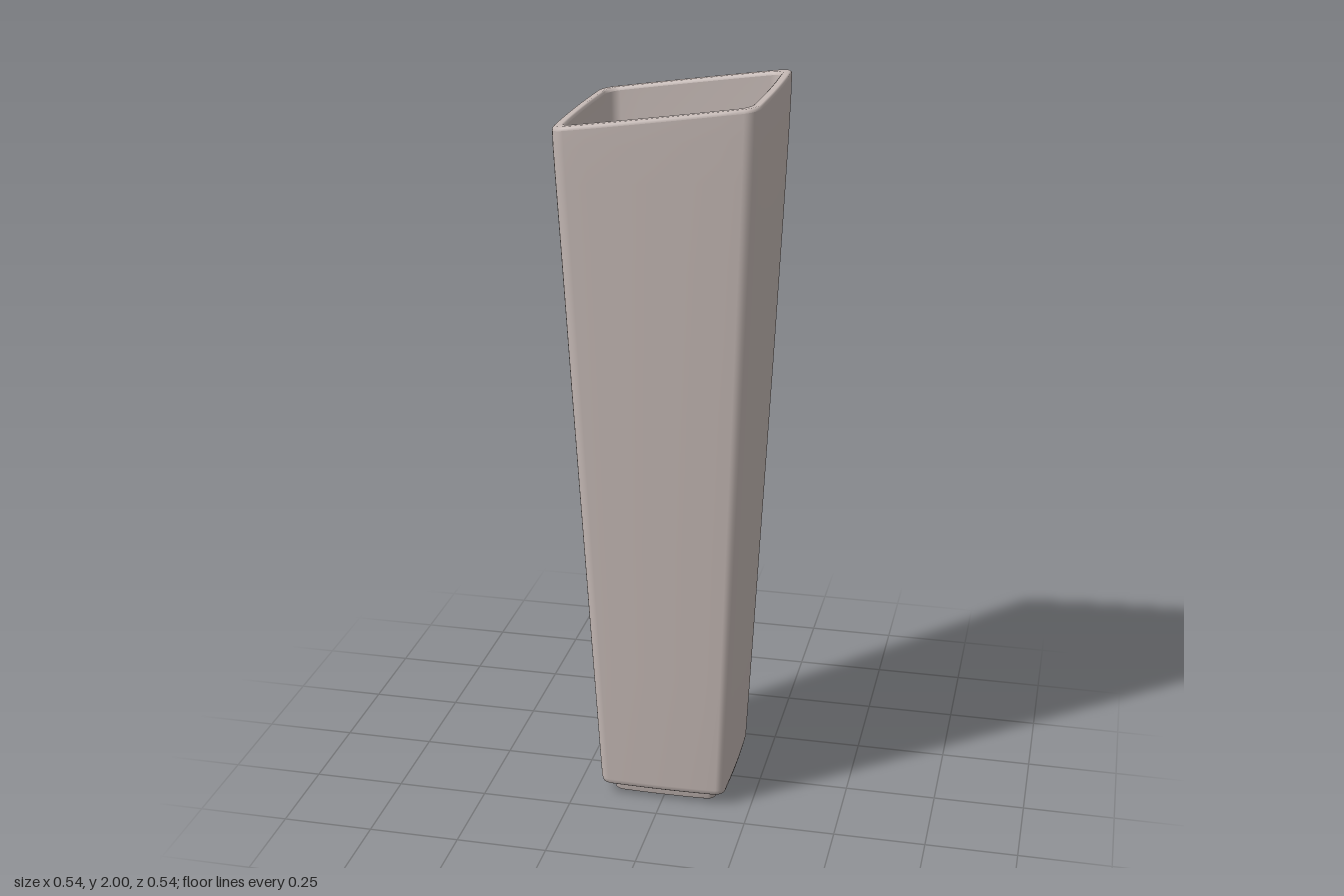
import * as THREE from 'three';

const ARC = 6, SIDE = 8;

// Rounded square outline with gently bowed sides
function outline(h) {
  const r = h * 0.13, s = h * 0.975, pts = [];
  for (let k = 0; k < 4; k++) {
    const a0 = k * Math.PI / 2, mid = a0 + Math.PI / 4;
    const cx = Math.sign(Math.cos(mid)) * (s - r), cz = Math.sign(Math.sin(mid)) * (s - r);
    for (let i = 0; i <= ARC; i++) {
      const a = a0 + i / ARC * Math.PI / 2;
      pts.push([cx + r * Math.cos(a), cz + r * Math.sin(a)]);
    }
    // straight run towards the next corner
    const [x, z] = pts[pts.length - 1], dx = -Math.sin(a0 + Math.PI / 2), dz = Math.cos(a0 + Math.PI / 2);
    for (let i = 1; i < SIDE; i++) {
      const d = 2 * (s - r) * i / SIDE;
      pts.push([x + dx * d, z + dz * d]);
    }
  }
  if (h === 0) return pts;
  return pts.map(([x, z]) => [
    x * (1 + 0.026 * (1 - (z / s) ** 2)),
    z * (1 + 0.026 * (1 - (x / s) ** 2)),
  ]);
}

// Loft through [half width, height, slant] sections; slant tilts a section up towards +x
function loft(sections) {
  const pos = [], idx = [];
  let n = 0;
  sections.forEach(([h, y, slant = 0]) => {
    const pts = outline(h);
    n = pts.length;
    pts.forEach(([x, z]) => pos.push(x, y + slant * x, z));
  });
  for (let i = 0; i < sections.length - 1; i++) {
    for (let j = 0; j < n; j++) {
      const a = i * n + j, b = i * n + (j + 1) % n;
      idx.push(a, a + n, b, b, a + n, b + n);
    }
  }
  const g = new THREE.BufferGeometry();
  g.setAttribute('position', new THREE.Float32BufferAttribute(pos, 3));
  g.setIndex(idx);
  g.computeVertexNormals();
  return g;
}

export function createModel() {
  const group = new THREE.Group();
  const ceramic = new THREE.MeshStandardMaterial({ color: 0xc4b8b4 });
  ceramic.name = 'warm grey ceramic';
  const add = (name, sections) => {
    const m = new THREE.Mesh(loft(sections), ceramic);
    m.name = name;
    group.add(m);
  };
  const T = 0.14; // tilt of the rim

  // Foot: recessed underside, standing ring and short wall
  add('footRecess', [[0, 0.02], [0.122, 0.02]]);
  add('footRecessWall', [[0.122, 0.02], [0.126, 0.003], [0.13, 0]]);
  add('footRing', [[0.13, 0], [0.144, 0]]);
  add('footWall', [[0.144, 0], [0.148, 0.004], [0.151, 0.03]]);
  add('bodyUnderside', [[0.151, 0.03], [0.174, 0.033]]);

  // Tapered outer wall
  add('outerWall', [
    [0.174, 0.033], [0.179, 0.037], [0.182, 0.05], [0.199, 0.4], [0.218, 0.8], [0.237, 1.2],
    [0.255, 1.6, 0.02], [0.264, 1.8, 0.07], [0.268, 1.9, 0.11], [0.269, 1.953, T],
  ]);
  // Slanted rim with softened edges
  add('rim', [
    [0.269, 1.953, T], [0.268, 1.959, T], [0.264, 1.963, T],
    [0.248, 1.963, T], [0.244, 1.96, T], [0.242, 1.954, T],
  ]);
  // Hollow inside
  add('innerWall', [
    [0.242, 1.954, T], [0.24, 1.88, 0.11], [0.235, 1.75, 0.06], [0.222, 1.45],
    [0.197, 0.9], [0.178, 0.45], [0.164, 0.1], [0.159, 0.08], [0.152, 0.075],
  ]);
  add('innerFloor', [[0.152, 0.075], [0, 0.075]]);

  return group;
}
